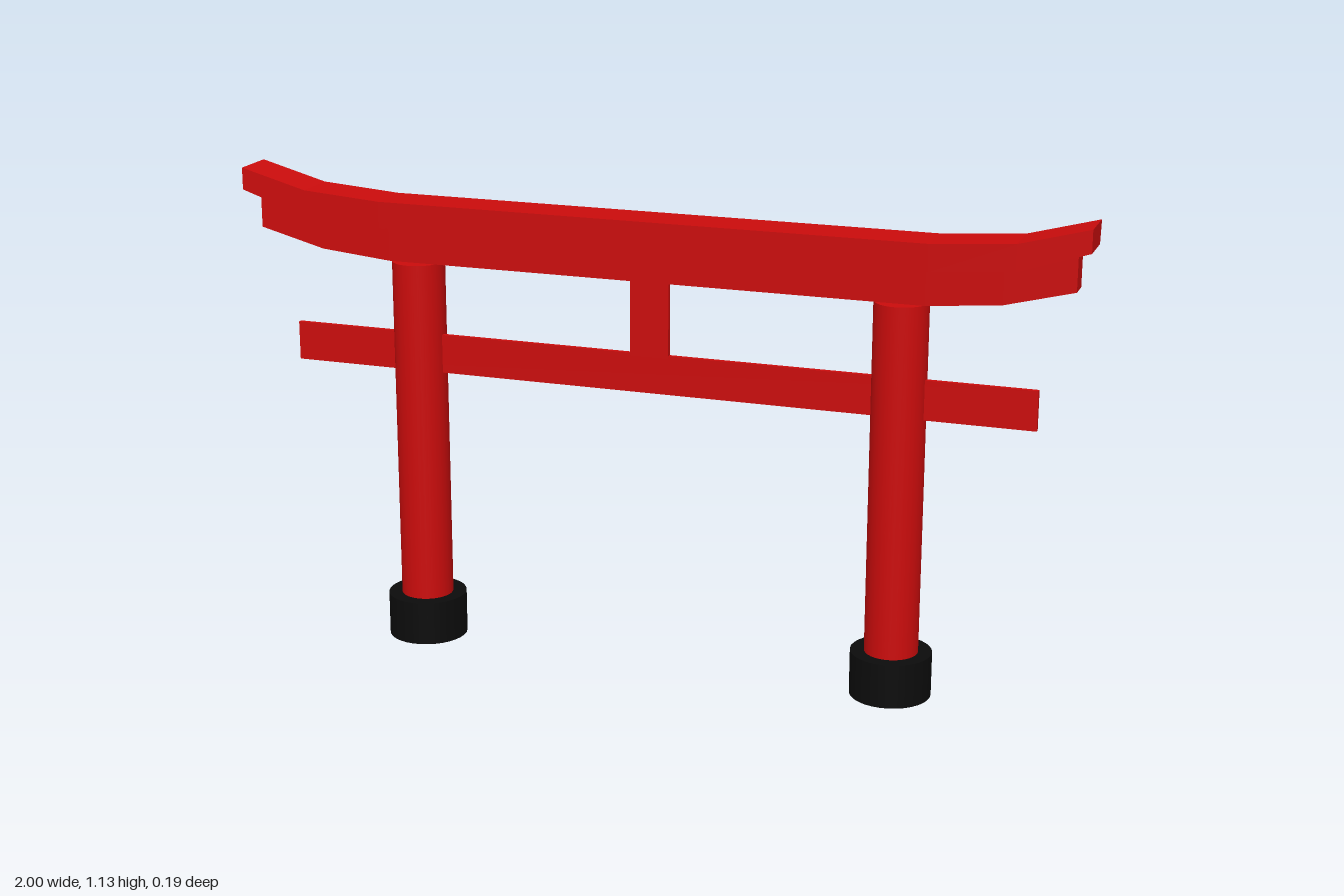
import * as THREE from 'three';

const red = new THREE.MeshStandardMaterial({ color: 0xcc0c0c });
const redFlat = new THREE.MeshStandardMaterial({ color: 0xcc0c0c, flatShading: true });
const black = new THREE.MeshStandardMaterial({ color: 0x0c0c0c });

function add(parent, name, geometry, material, x = 0, y = 0, z = 0) {
  const mesh = new THREE.Mesh(geometry, material);
  mesh.name = name;
  mesh.position.set(x, y, z);
  parent.add(mesh);
  return mesh;
}

// Beam with upswept ends; stations run from the middle outwards as [x, bottom, top]
function sweptBeam(stations, zBack, zFront) {
  const n = stations.length;
  const geometry = new THREE.BoxGeometry(2, 2, 2, 2 * n - 1, 1, 1);
  const p = geometry.attributes.position;
  for (let i = 0; i < p.count; i++) {
    const column = Math.round((p.getX(i) + 1) / 2 * (2 * n - 1));
    const right = column >= n;
    const [x, bottom, top] = stations[right ? column - n : n - 1 - column];
    p.setXYZ(i, right ? x : -x, p.getY(i) > 0 ? top : bottom, p.getZ(i) > 0 ? zFront : zBack);
  }
  return geometry;
}

export function createModel() {
  const gate = new THREE.Group();
  gate.name = 'gate';

  // Pillars on round black footings
  for (const [side, s] of [['left', 1], ['right', -1]]) {
    add(gate, side + 'Pillar', new THREE.CylinderGeometry(0.062, 0.062, 0.83, 32), red, s * 0.58, 0.515, 0.002);
    add(gate, side + 'Footing', new THREE.CylinderGeometry(0.094, 0.094, 0.105, 32), black, s * 0.58, 0.0525, 0.002);
  }

  // Upper lintel, with its lower back corner cut in slightly at the left end
  const upper = sweptBeam([[0.65, 1.014, 1.076], [0.84, 1.028, 1.09], [1, 1.081, 1.133]], -0.045, 0.063);
  const p = upper.attributes.position;
  for (let i = 0; i < p.count; i++) {
    if (p.getX(i) > 0.99 && p.getY(i) < 1.1 && p.getZ(i) < 0) p.setZ(i, -0.036);
  }
  add(gate, 'upperLintel', upper, redFlat);

  // Lower lintel resting on the pillars
  add(gate, 'lowerLintel',
    sweptBeam([[0.64, 0.931, 1.016], [0.81, 0.947, 1.03], [0.968, 0.988, 1.073]], -0.017, 0.035), redFlat);

  // Thin tie beam and central strut
  add(gate, 'tieBeam', new THREE.BoxGeometry(1.786, 0.092, 0.011), redFlat, 0, 0.711, 0.009);
  add(gate, 'centralStrut', new THREE.BoxGeometry(0.092, 0.19, 0.011), redFlat, -0.003, 0.845, 0.009);

  return gate;
}
